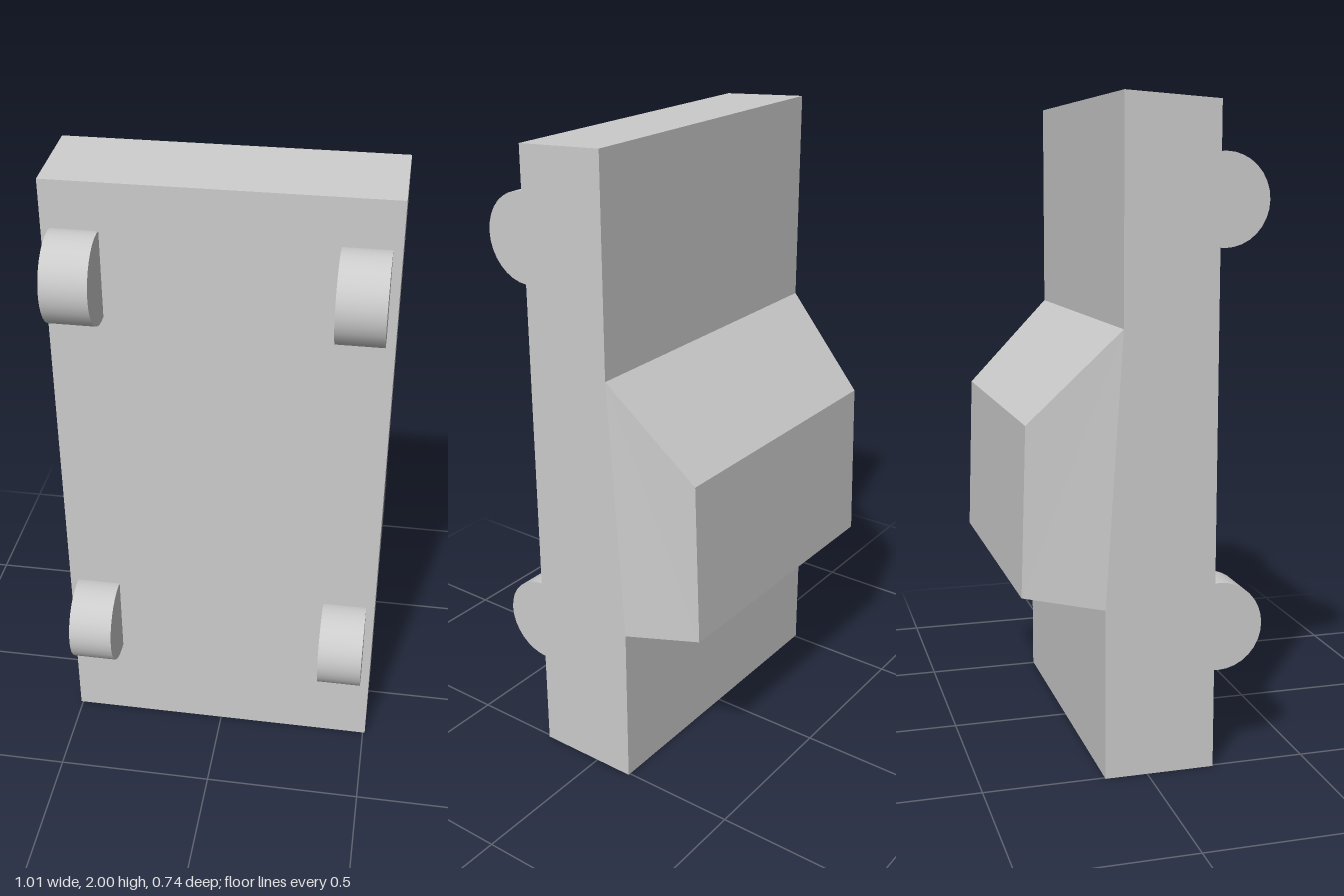
import * as THREE from 'three';

// Side outline of the car: [z, y, half width], floor first, then nose, hood, cabin and tail
const OUTLINE = [
  [0.208, 0, 0.507],
  [0.208, 1.981, 0.507],
  [-0.077, 2, 0.507],
  [-0.077, 1.343, 0.507],
  [-0.352, 1.07, 0.453],
  [-0.368, 0.563, 0.453],
  [-0.13, 0.522, 0.507],
  [-0.13, 0, 0.507],
];

function bodyGeometry() {
  const positions = [];
  const corner = (i, side) => {
    const [z, y, w] = OUTLINE[i % OUTLINE.length];
    return [side * w, y, z];
  };
  const tri = (...corners) => corners.forEach((c) => positions.push(...c));

  // Panels running across the car, all around the outline
  for (let i = 0; i < OUTLINE.length; i++) {
    tri(corner(i, 1), corner(i + 1, 1), corner(i + 1, -1));
    tri(corner(i, 1), corner(i + 1, -1), corner(i, -1));
  }
  // Flat lower flanks and inward leaning cabin sides, fanned from the hood's rear corner
  for (const [b, c] of [[6, 7], [7, 0], [0, 1], [1, 2], [4, 5], [5, 6]]) {
    tri(corner(3, 1), corner(c, 1), corner(b, 1));
    tri(corner(3, -1), corner(b, -1), corner(c, -1));
  }

  const geometry = new THREE.BufferGeometry();
  geometry.setAttribute('position', new THREE.Float32BufferAttribute(positions, 3));
  geometry.computeVertexNormals();
  return geometry;
}

export function createModel() {
  const group = new THREE.Group();
  group.name = 'carOnEnd';

  const body = new THREE.Mesh(
    bodyGeometry(),
    new THREE.MeshStandardMaterial({ color: 0xcccccc, flatShading: true })
  );
  body.name = 'body';
  group.add(body);

  // Four wheels half sunk into the floor
  const wheelGeometry = new THREE.CylinderGeometry(0.137, 0.137, 0.14, 32).rotateZ(Math.PI / 2);
  const wheelMaterial = new THREE.MeshStandardMaterial({ color: 0xcccccc });
  for (const [end, y] of [['front', 1.702], ['rear', 0.432]]) {
    for (const [sideName, side] of [['Left', 1], ['Right', -1]]) {
      const wheel = new THREE.Mesh(wheelGeometry, wheelMaterial);
      wheel.name = `${end}${sideName}Wheel`;
      wheel.position.set(side * 0.41, y, 0.231);
      group.add(wheel);
    }
  }
  return group;
}
